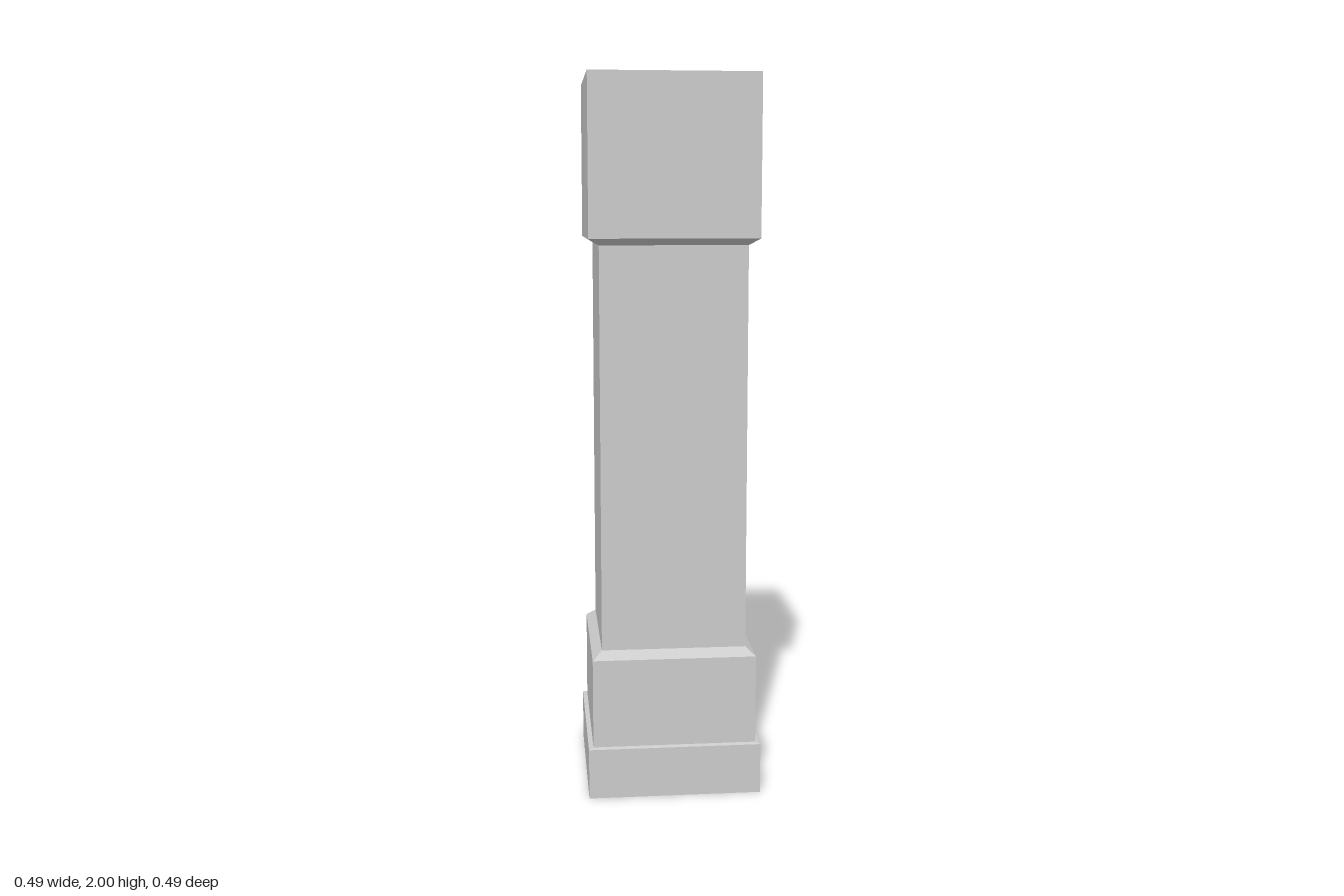
import * as THREE from 'three';

const material = new THREE.MeshStandardMaterial({ color: 0xcccccc, flatShading: true, side: THREE.DoubleSide });

// Square shell swept through [half width, height] pairs, listed bottom to top
function squareShell(name, profile) {
  const points = profile.map(([half, y]) => new THREE.Vector2(half * Math.SQRT2, y));
  const geometry = new THREE.LatheGeometry(points, 4, Math.PI / 4).toNonIndexed();
  geometry.computeVertexNormals();
  const mesh = new THREE.Mesh(geometry, material);
  mesh.name = name;
  return mesh;
}

export function createModel() {
  const pillar = new THREE.Group();
  pillar.name = 'squarePillar';
  pillar.add(
    // Hollow foot, open underneath, with a narrow ledge on top
    squareShell('foot', [[0.243, 0], [0.243, 0.143], [0.23, 0.146]]),
    // Pedestal with a sloped shoulder
    squareShell('pedestal', [[0.23, 0.146], [0.23, 0.398], [0.203, 0.42]]),
    squareShell('shaft', [[0.203, 0.42], [0.203, 1.546]]),
    // Capital with a chamfered underside and a flat closed top
    squareShell('capital', [[0.203, 1.546], [0.232, 1.564], [0.232, 2], [0, 2]])
  );
  return pillar;
}
